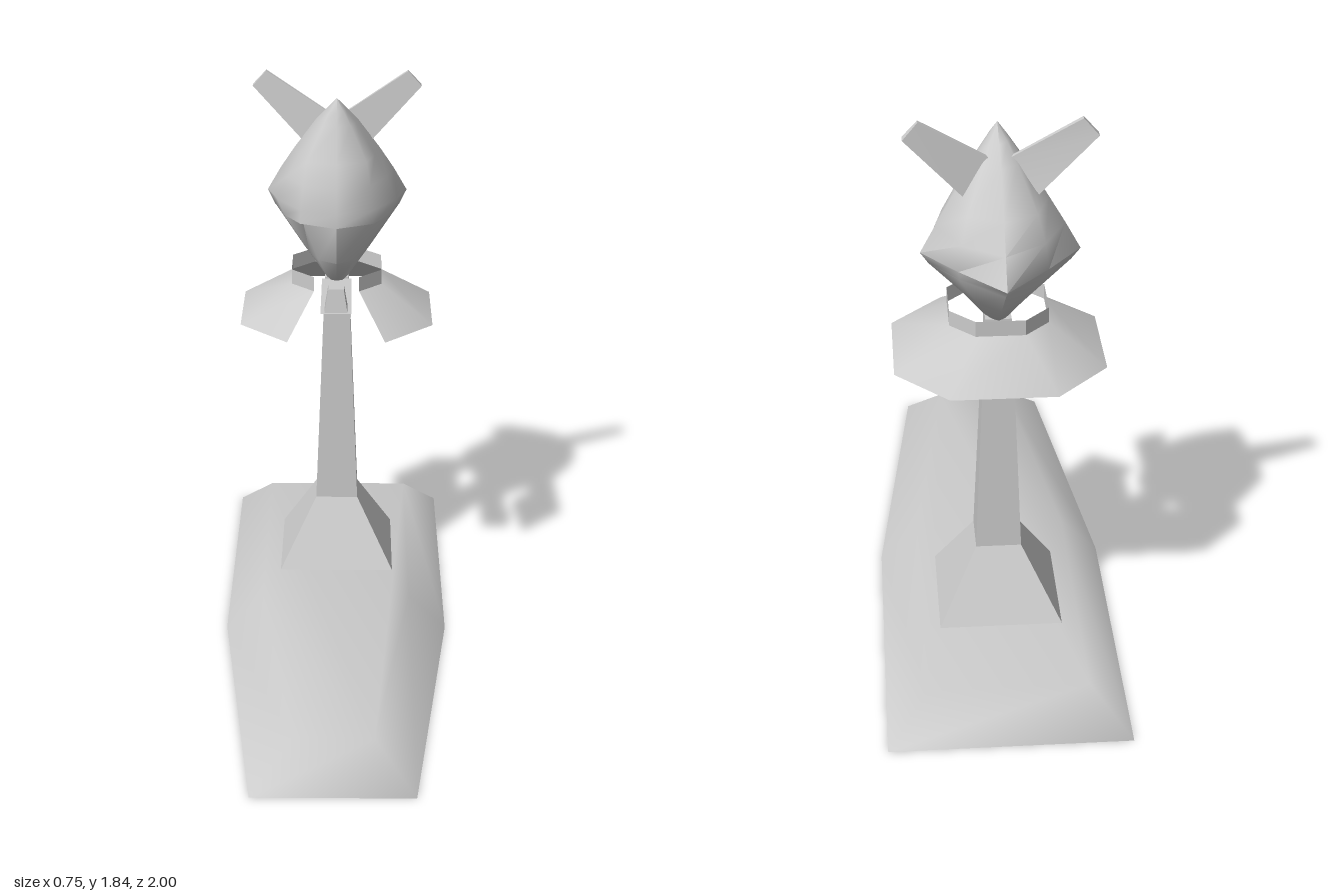
import * as THREE from 'three';
import { toCreasedNormals } from 'three/addons/utils/BufferGeometryUtils.js';

const AXIS_Z = -0.375; // the post stands here

// Skin a list of rings (each a list of [x, y, z]); closed ones get end caps.
function loft(rings, { closed = true, bottom = closed, crease = 0.7 } = {}) {
  const n = rings[0].length;
  const index = [];
  rings.slice(1).forEach((_, r) => {
    for (let i = 0; i < (closed ? n : n - 1); i++) {
      const a = r * n + i, b = r * n + (i + 1) % n;
      index.push(a, b, b + n, a, b + n, a + n);
    }
  });
  const top = (rings.length - 1) * n;
  for (let i = 1; i < n - 1; i++) {
    if (bottom) index.push(0, i + 1, i);
    if (closed) index.push(top, top + i, top + i + 1);
  }
  const geo = new THREE.BufferGeometry();
  geo.setAttribute('position', new THREE.Float32BufferAttribute(rings.flat(2), 3));
  geo.setIndex(index);
  geo.computeVertexNormals();
  return crease === null ? geo : toCreasedNormals(geo, crease);
}

// Rectangular ring around (0, z), counter-clockwise from above.
const square = (y, h, z) => [[h, y, z + h], [h, y, z - h], [-h, y, z - h], [-h, y, z + h]];

// Chamfered octagon without its front side.
function openOctagon(y, h, z = -0.36) {
  const q = h / 2;
  return [[q, h], [h, q], [h, -q], [q, -h], [-q, -h], [-h, -q], [-h, q], [-q, h]]
    .map(([x, d]) => [x, y, z + d]);
}

// Symmetric head ring from its front centre, left-side points and back centre.
function headRing(y, front, side, back) {
  const mirrored = side.map(([x, z]) => [-x, y, z]).reverse();
  return [[0, y, front], ...side.map(([x, z]) => [x, y, z]), [0, y, back], ...mirrored];
}

export function createModel() {
  const model = new THREE.Group();
  const solid = new THREE.MeshStandardMaterial({ color: 0xcccccc });
  const thin = new THREE.MeshStandardMaterial({ color: 0xcccccc, side: THREE.DoubleSide });
  const add = (name, geometry, material = solid) => {
    const mesh = new THREE.Mesh(geometry, material);
    mesh.name = name;
    model.add(mesh);
  };

  // Tapered slab with bevelled sides, softly shaded and open underneath
  const slab = (y, inset) => {
    const e = 1 - inset, w = 0.375 - inset, f = 0.25 - inset;
    return [[f, y, e], [w, y, 0], [w, y, -e], [-w, y, -e], [-w, y, 0], [-f, y, e]];
  };
  add('base', loft([slab(0, 0), slab(0.125, 0.125)], { bottom: false, crease: null }), thin);

  // Square post with flared foot
  add('post', loft([[0.125, 0.195], [0.35, 0.072], [1.16, 0.04]]
    .map(([y, h]) => square(y, h, AXIS_Z)), { bottom: false, crease: 0.2 }));

  // Cape and collar, both open at the front
  add('cape', loft([openOctagon(1.04, 0.32), openOctagon(1.155, 0.15)], { closed: false }), thin);
  add('collar', loft([openOctagon(1.155, 0.15), openOctagon(1.205, 0.15)], { closed: false }), thin);

  // Thin tongue from the post, with a small block at its tip
  const tongue = new THREE.PlaneGeometry(0.1, 0.335).rotateX(-Math.PI / 2).translate(0, 1.155, -0.1675);
  add('tongue', tongue, thin);
  add('tongueBlock', loft([square(1.155, 0.037, -0.047), square(1.23, 0.025, -0.047)], { crease: 0.2 }));

  // Head: peaked crown, mask with a small lip over the recessed jaw, pointed back
  add('head', loft([
    headRing(1.16, -0.3, [[0.02, -0.31], [0.035, -0.35], [0.04, -0.38], [0.02, -0.41]], -0.425),
    headRing(1.25, -0.212, [[0.06, -0.25], [0.09, -0.33], [0.11, -0.4], [0.07, -0.47]], -0.535),
    headRing(1.378, -0.195, [[0.11, -0.255], [0.175, -0.34], [0.208, -0.46], [0.125, -0.57]], -0.688),
    headRing(1.38, -0.185, [[0.12, -0.24], [0.175, -0.34], [0.21, -0.46], [0.125, -0.57]], -0.69),
    headRing(1.425, -0.19, [[0.118, -0.24], [0.2, -0.37], [0.235, -0.48], [0.13, -0.61]], -0.75),
    headRing(1.505, -0.205, [[0.11, -0.25], [0.165, -0.36], [0.19, -0.47], [0.12, -0.605]], -0.685),
    headRing(1.58, -0.24, [[0.098, -0.27], [0.125, -0.36], [0.143, -0.45], [0.1, -0.57]], -0.62),
    headRing(1.69, -0.3, [[0.045, -0.315], [0.062, -0.36], [0.068, -0.41], [0.05, -0.47]], -0.5),
    headRing(1.735, -0.32, [[0.022, -0.325], [0.03, -0.35], [0.032, -0.375], [0.025, -0.405]], -0.425),
    headRing(1.775, -0.345, [[0, -0.345], [0, -0.345], [0, -0.345], [0, -0.345]], -0.345),
  ], { crease: 0.95 }));

  // Wedge-like ears leaning outwards, thinner along the inner edge
  for (const s of [1, -1]) {
    const section = (...corners) => {
      const ring = corners.map(([x, y, z]) => [s * x, y, z]);
      return s > 0 ? ring : ring.reverse();
    };
    add(s > 0 ? 'leftEar' : 'rightEar', loft([
      section([0.11, 1.605, -0.43], [0.11, 1.605, -0.49], [0.03, 1.705, -0.45], [0.03, 1.705, -0.437]),
      section([0.28, 1.785, -0.465], [0.28, 1.785, -0.495], [0.235, 1.835, -0.485], [0.235, 1.835, -0.468]),
    ], { crease: 0.3 }));
  }
  return model;
}
